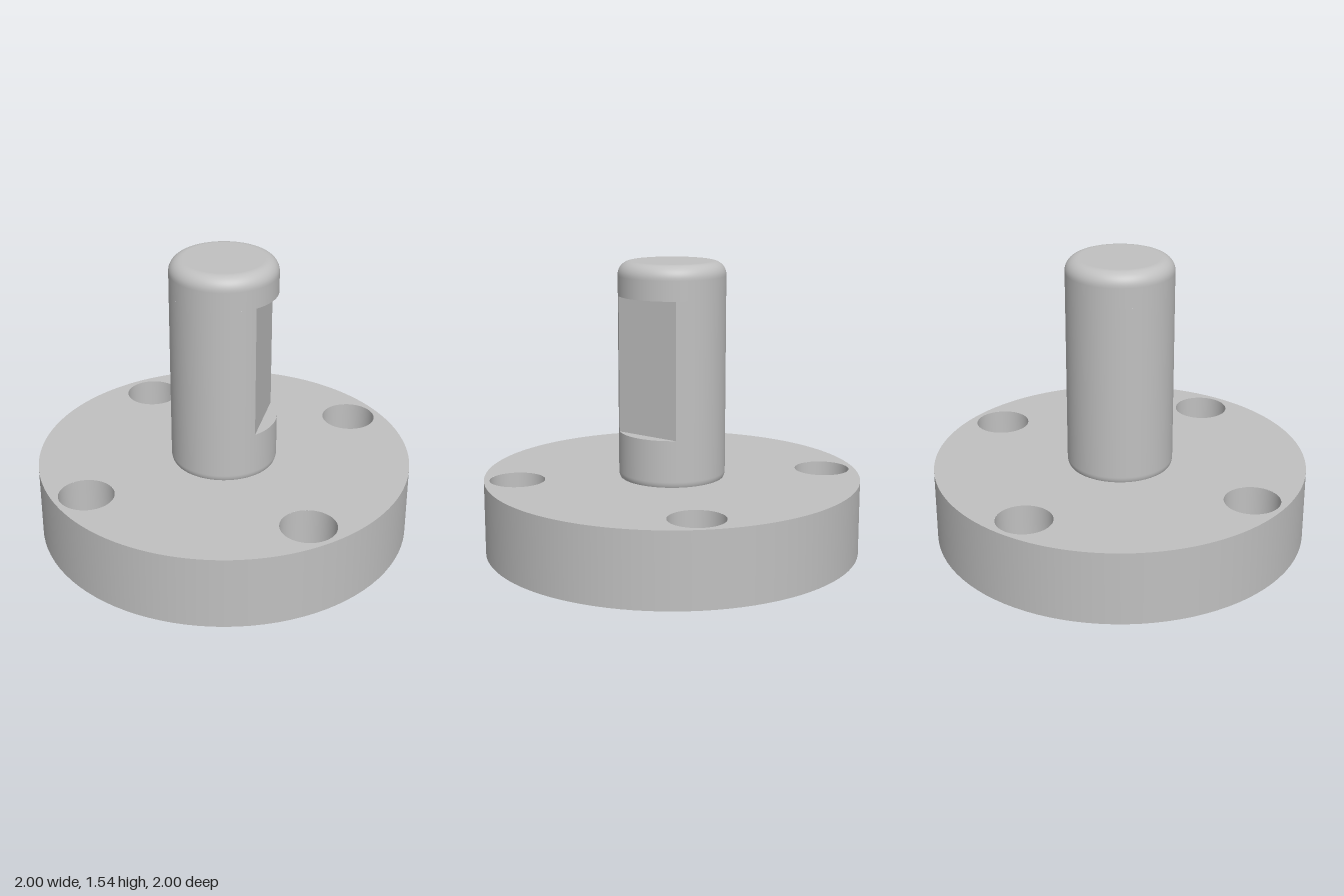
import * as THREE from 'three';

const BASE_H = 0.396, RECESS = 0.078;
const SHAFT_R = 0.2825, TOP = 1.54, FILLET = 0.07;
const FLAT_X = 0.214, FLAT_LOW = 0.645, FLAT_HIGH = 1.362;
const HOLE_R = 0.146, HOLE_POS = 0.583;

export function createModel() {
  const model = new THREE.Group();
  const steel = new THREE.MeshStandardMaterial({ color: 0xc0c0c0 });
  steel.name = 'steel grey';

  const add = (parent, name, geometry, x = 0, y = 0, z = 0) => {
    const mesh = new THREE.Mesh(geometry, steel);
    mesh.name = name;
    mesh.position.set(x, y, z);
    parent.add(mesh);
  };
  const group = (name) => {
    const g = new THREE.Group();
    g.name = name;
    model.add(g);
    return g;
  };
  const lathe = (pairs, start = 0, length = Math.PI * 2) => new THREE.LatheGeometry(
    pairs.map(([r, y]) => new THREE.Vector2(r, y)), 96, start, length);
  // Open round wall: faces outward when rising, inward when falling
  const wall = (r, from, to) => lathe([[r, from], [r, to]]);
  const disc = (r) => new THREE.Shape().absarc(0, 0, r, 0, Math.PI * 2, false);
  // Flat horizontal face, facing up (1) or down (-1)
  const face = (shape, dir) => new THREE.ShapeGeometry(shape, 96).rotateX(-dir * Math.PI / 2);

  // Flange disc with four bolt holes and a round recess underneath
  const flange = group('flange');
  const top = disc(1), bottom = disc(1);
  add(flange, 'flangeRim', wall(1, 0, BASE_H));
  for (const x of [-HOLE_POS, HOLE_POS]) {
    for (const z of [-HOLE_POS, HOLE_POS]) {
      const hole = new THREE.Path().absarc(x, z, HOLE_R, 0, Math.PI * 2, true);
      top.holes.push(hole);
      bottom.holes.push(hole);
      add(flange, 'boltHole', wall(HOLE_R, BASE_H, 0), x, 0, z);
    }
  }
  bottom.holes.push(new THREE.Path().absarc(0, 0, SHAFT_R, 0, Math.PI * 2, true));
  add(flange, 'flangeTop', face(top, 1), 0, BASE_H, 0);
  add(flange, 'flangeBottom', face(bottom, -1));
  add(flange, 'recessWall', wall(SHAFT_R, RECESS, 0));
  add(flange, 'recessCeiling', face(disc(SHAFT_R), -1), 0, RECESS, 0);

  // Shaft with rounded ends
  const shaft = group('shaft');
  const arc = (cy, from, to) => Array.from({ length: 13 }, (_, i) => {
    const a = from + (to - from) * i / 12;
    return [SHAFT_R - FILLET + FILLET * Math.cos(a), cy + FILLET * Math.sin(a)];
  });
  add(shaft, 'shaftFoot', lathe([...arc(0.425, -0.5, 0), [SHAFT_R, 0.43], [SHAFT_R, FLAT_LOW]]));
  const roundTop = arc(TOP - FILLET, 0, Math.PI / 2);
  add(shaft, 'shaftHead', lathe([[SHAFT_R, FLAT_HIGH], [SHAFT_R, TOP - FILLET - 0.005], ...roundTop]));
  add(shaft, 'shaftEnd', face(disc(SHAFT_R - FILLET), 1), 0, TOP, 0);

  // Middle of the shaft, with a milled flat on the +x side
  const half = Math.acos(FLAT_X / SHAFT_R);
  add(shaft, 'shaftMiddle', lathe([[SHAFT_R, FLAT_LOW], [SHAFT_R, FLAT_HIGH]],
    Math.PI / 2 + half, Math.PI * 2 - 2 * half));
  const flat = new THREE.PlaneGeometry(2 * SHAFT_R * Math.sin(half), FLAT_HIGH - FLAT_LOW);
  add(shaft, 'milledFlat', flat.rotateY(Math.PI / 2), FLAT_X, (FLAT_LOW + FLAT_HIGH) / 2, 0);
  const segment = new THREE.Shape().absarc(0, 0, SHAFT_R, -half, half, false);
  add(shaft, 'lowerLedge', face(segment, 1), 0, FLAT_LOW, 0);
  add(shaft, 'upperLedge', face(segment, -1), 0, FLAT_HIGH, 0);

  return model;
}
